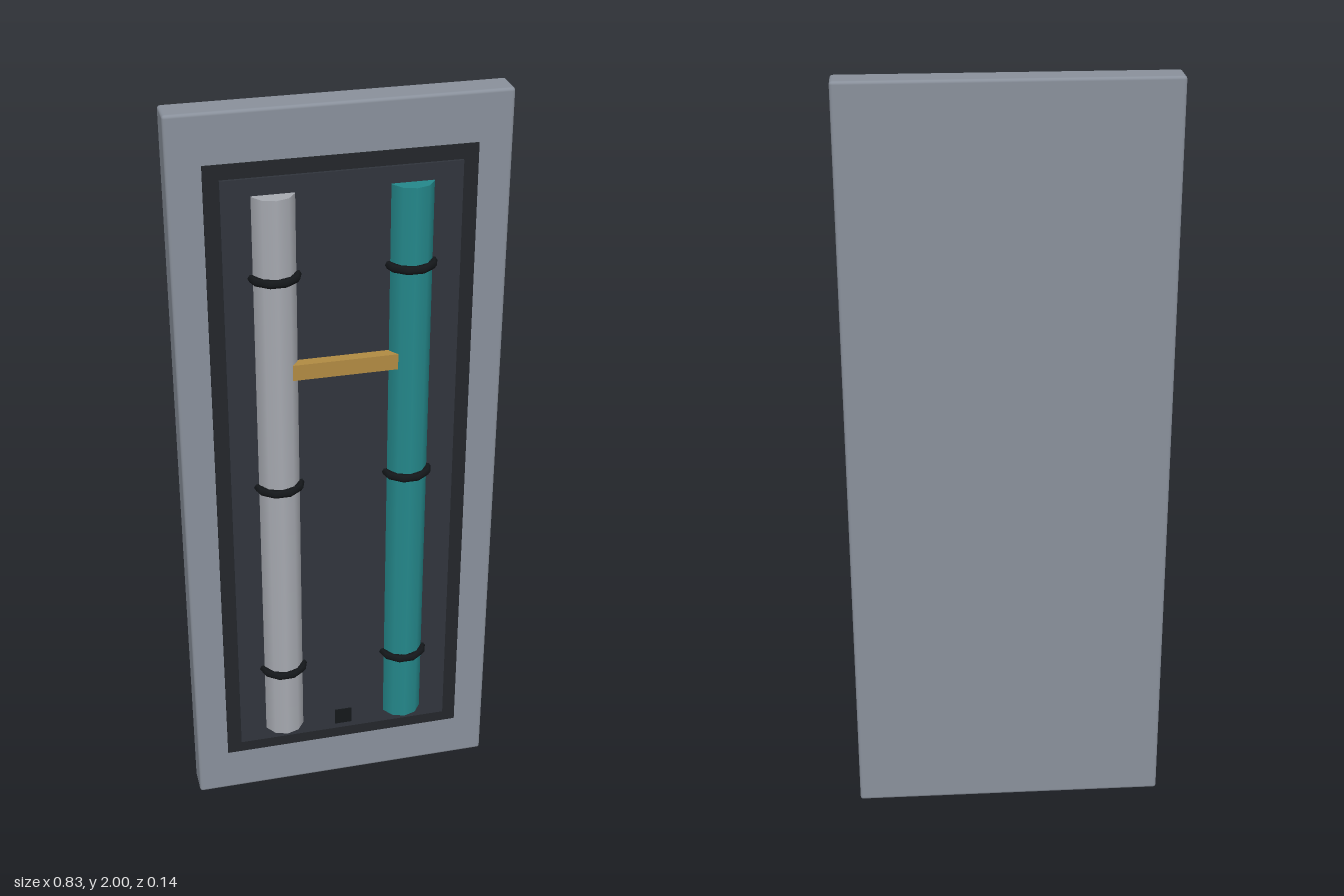
import * as THREE from 'three';
import { RoundedBoxGeometry } from 'three/addons/geometries/RoundedBoxGeometry.js';

const material = (color) => new THREE.MeshStandardMaterial({ color });

export function createModel() {
  const model = new THREE.Group();
  model.name = 'wallPanel';

  const slabGrey = material(0x89909b);
  const frameBlack = material(0x23262a);
  const panelDark = material(0x30343c);
  const rubber = material(0x14171a);
  const silver = material(0xa6a9b0);
  const teal = material(0x24878a);
  const brass = material(0xb08a42);

  const add = (name, geometry, mat, x, y, z, parent = model) => {
    const mesh = new THREE.Mesh(geometry, mat);
    mesh.name = name;
    mesh.position.set(x, y, z);
    parent.add(mesh);
    return mesh;
  };

  // Softly bevelled backing slab
  add('slab', new RoundedBoxGeometry(0.828, 2, 0.08, 2, 0.008), slabGrey, 0, 1, -0.033);

  // Dark border plate and the raised inner panel
  add('borderPlate', new THREE.BoxGeometry(0.66, 1.745, 0.02), frameBlack, 0, 1.003, 0);
  add('innerPanel', new THREE.BoxGeometry(0.584, 1.67, 0.02), panelDark, 0, 1.003, 0.007);

  // Two ten-sided pipes, each held by three clamp rings
  const pipeGeometry = new THREE.CylinderGeometry(0.055, 0.055, 1.585, 10);
  const ringGeometry = new THREE.TorusGeometry(0.059, 0.011, 6, 10).rotateX(Math.PI / 2);
  for (const [side, x, mat] of [['right', -0.168, silver], ['left', 0.168, teal]]) {
    const pipe = new THREE.Group();
    pipe.name = side + 'PipeAssembly';
    model.add(pipe);
    add(side + 'Pipe', pipeGeometry, mat, x, 1.003, 0.004, pipe);
    [0.418, 1.003, 1.588].forEach((y, i) =>
      add(side + 'Clamp' + (i + 1), ringGeometry, rubber, x, y, 0.004, pipe));
  }

  // Brass bar linking the pipes
  add('crossBar', new THREE.BoxGeometry(0.266, 0.042, 0.042), brass, 0, 1.336, 0.024);

  // Small block at the foot of the panel
  add('footBlock', new THREE.BoxGeometry(0.048, 0.048, 0.02), rubber, 0, 0.21, 0.01);

  return model;
}
